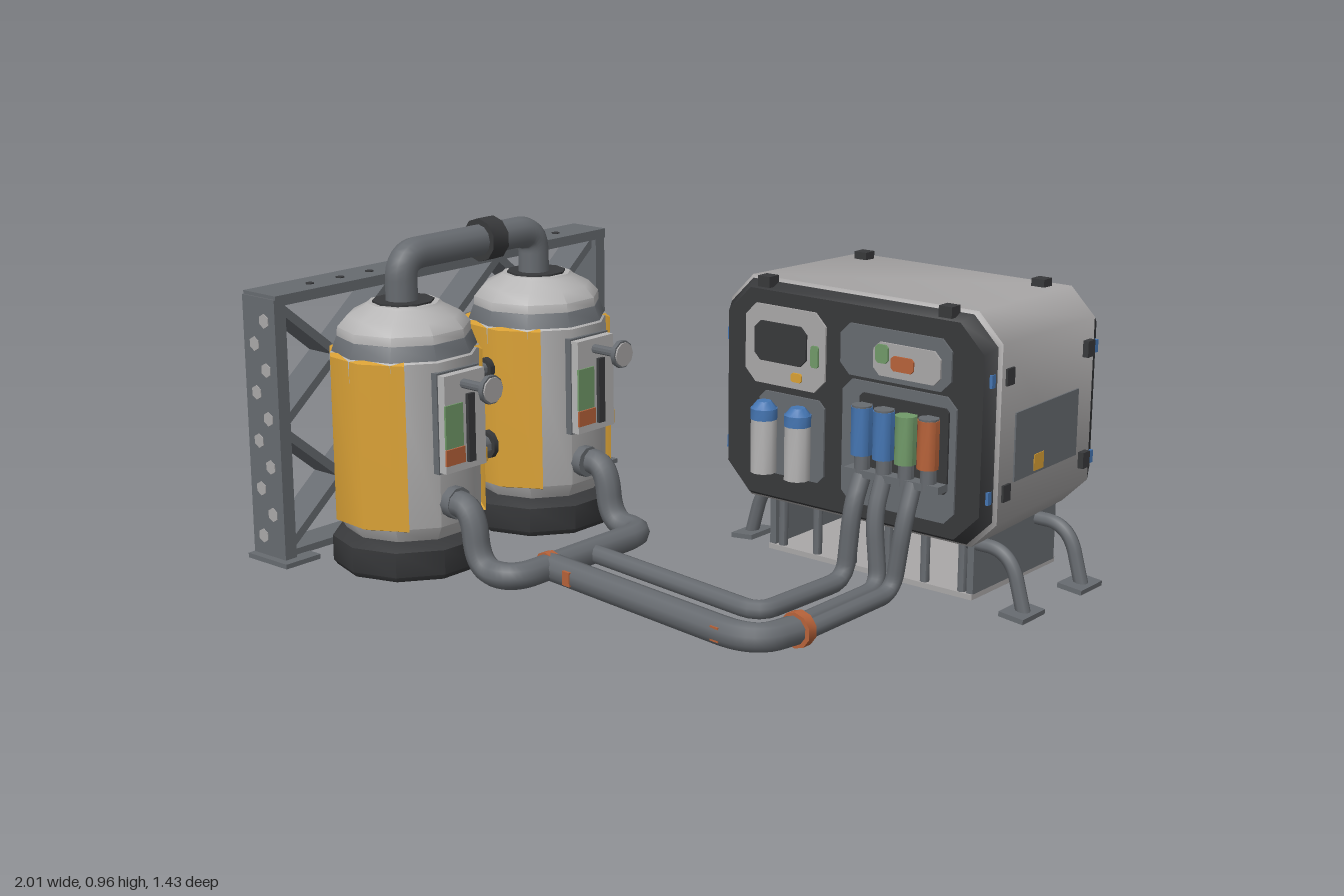
import * as THREE from 'three';
import { toCreasedNormals } from 'three/addons/utils/BufferGeometryUtils.js';
import { ConvexGeometry } from 'three/addons/geometries/ConvexGeometry.js';

const mat = (name, color) => Object.assign(new THREE.MeshStandardMaterial({ color }), { name });
const light = mat('light grey', 0xaaa8a8), mid = mat('steel grey', 0x676b70), dark = mat('charcoal', 0x38393b);
const yellow = mat('yellow paint', 0xd9a136), blue = mat('blue', 0x4576b3), green = mat('green', 0x719a69);
const rust = mat('orange', 0xb8633a), pale = mat('pale grey', 0xb6b5b5);
yellow.side = mid.side = THREE.DoubleSide;

const V = (p) => new THREE.Vector3(...p);

function add(parent, name, geo, material, pos = [0, 0, 0], rot = [0, 0, 0]) {
  const m = new THREE.Mesh(geo, material);
  m.name = name;
  m.position.set(...pos);
  m.rotation.set(...rot);
  parent.add(m);
  return m;
}
const box = (parent, name, material, size, pos, rot) =>
  add(parent, name, new THREE.BoxGeometry(...size), material, pos, rot);
const cyl = (parent, name, material, r, h, pos, rot, r2 = r, n = 10) =>
  add(parent, name, toCreasedNormals(new THREE.CylinderGeometry(r2, r, h, n), 0.8), material, pos, rot);

// Straight bar between two points
function bar(parent, name, material, a, b, w, d) {
  const A = V(a), B = V(b);
  const m = box(parent, name, material, [w, d, A.distanceTo(B)], A.clone().add(B).multiplyScalar(0.5).toArray());
  m.lookAt(B);
}

// Pipe along a polyline whose corners are rounded by a bend radius
function pipe(parent, name, material, pts, r, bend = 0.09, n = 10) {
  const p = pts.map(V), path = new THREE.CurvePath();
  let from = p[0];
  for (let i = 1; i < p.length - 1; i++) {
    const cut = (q) => p[i].clone().lerp(q, Math.min(0.49, bend / p[i].distanceTo(q)));
    const a = cut(p[i - 1]), b = cut(p[i + 1]);
    path.add(new THREE.LineCurve3(from, a));
    path.add(new THREE.QuadraticBezierCurve3(a, p[i], b));
    from = b;
  }
  path.add(new THREE.LineCurve3(from, p[p.length - 1]));
  add(parent, name, new THREE.TubeGeometry(path, 56, r, n, false), material);
}

const lathe = (pts, start = 0, len = Math.PI * 2, n = 10) =>
  toCreasedNormals(new THREE.LatheGeometry(pts.map((p) => new THREE.Vector2(...p)), n, start, len), 0.7);

// Thin plate with cut corners, facing +z
function plate(parent, name, material, x0, x1, y0, y1, z, cut = 0.02) {
  const s = new THREE.Shape(octagon((x0 + x1) / 2, (y0 + y1) / 2, (x1 - x0) / 2, (y1 - y0) / 2, cut));
  add(parent, name, new THREE.ExtrudeGeometry(s, { depth: 0.006, bevelEnabled: false }), material, [0, 0, z]);
}

// Counter-clockwise octagon; edge 0 is the right side
function octagon(cx, cy, w, h, c) {
  return [[w, c - h], [w, h - c], [w - c, h], [c - w, h], [-w, h - c], [-w, c - h], [c - w, -h], [w - c, -h]]
    .map(([x, y]) => new THREE.Vector2(cx + x, cy + y));
}

// Bevel or wall between two octagons, front ring first
function wall(parent, name, material, A, za, B, zb, edges = [0, 1, 2, 3, 4, 5, 6, 7]) {
  const v = [];
  for (const i of edges) {
    const j = (i + 1) % 8;
    const a = [A[i].x, A[i].y, za], b = [B[i].x, B[i].y, zb], c = [B[j].x, B[j].y, zb], d = [A[j].x, A[j].y, za];
    v.push(...a, ...b, ...d, ...b, ...c, ...d);
  }
  const g = new THREE.BufferGeometry();
  g.setAttribute('position', new THREE.Float32BufferAttribute(v, 3));
  add(parent, name, toCreasedNormals(g, 0.9), material);
}

function frame() {
  const g = new THREE.Group();
  g.name = 'trussFrame';
  const z0 = -0.64, z1 = 0.67, cx = -0.932;
  box(g, 'topBeam', mid, [0.135, 0.03, 1.35], [cx, 0.76, 0.01]);
  box(g, 'bottomRail', mid, [0.1, 0.02, 1.3], [cx, 0.022, 0.01]);
  for (const z of [z0, z1]) {
    box(g, 'endPost', mid, [0.135, 0.76, 0.04], [cx, 0.385, z]);
    box(g, 'footPad', mid, [0.165, 0.014, 0.125], [-0.918, 0.007, z - Math.sign(z) * 0.02]);
  }
  for (let i = 0; i < 10; i++) {
    cyl(g, 'beamHole', dark, 0.013, 0.004, [-0.925, 0.776, -0.5 + i * 0.112], [0, 0, 0], 0.013, 6);
    cyl(g, 'postHole', light, 0.021, 0.004, [-0.935 + (i % 2 ? 0.025 : -0.02), 0.07 + i * 0.07, z1 + 0.02], [Math.PI / 2, 0, 0], 0.021, 6);
  }
  // Crossed deep slats in three bays and two rows
  const bay = (z1 - z0) / 3;
  for (let i = 0; i < 3; i++) for (let j = 0; j < 2; j++) {
    const a = z0 + i * bay, b = a + bay, lo = 0.03 + j * 0.36, hi = lo + 0.36;
    bar(g, 'lattice', mid, [cx, lo, a], [cx, hi, b], 0.1, 0.025);
    bar(g, 'lattice', mid, [cx, hi, a], [cx, lo, b], 0.1, 0.025);
  }
  // Pointed bracket towards the tanks
  const tips = [[-0.87, 0.5, 0.1], [-0.87, 0.23, 0.1], [-0.87, 0.36, 0.04], [-0.87, 0.36, 0.23], [-0.795, 0.34, 0.045]];
  add(g, 'bracket', new ConvexGeometry(tips.map(V)), mid);
  return g;
}

function tank(z) {
  const g = new THREE.Group();
  g.name = 'tank';
  add(g, 'base', lathe([[0, 0.035], [0.205, 0.035], [0.216, 0.05], [0.216, 0.12], [0.18, 0.14], [0, 0.14]]), dark);
  add(g, 'core', lathe([[0.17, 0.13], [0.2, 0.18], [0.205, 0.64], [0.185, 0.66]]), pale);
  add(g, 'shell', lathe([[0.185, 0.17], [0.213, 0.18], [0.213, 0.64], [0.19, 0.647]], Math.PI / 2 + 0.66, Math.PI * 2 - 1.42, 8), yellow);
  add(g, 'neckBand', lathe([[0.2, 0.645], [0.185, 0.685], [0.17, 0.695]]), mid);
  add(g, 'dome', lathe([[0.184, 0.685], [0.182, 0.71], [0.155, 0.74], [0.108, 0.765], [0.1, 0.773], [0, 0.773]]), pale);
  cyl(g, 'pipeSeat', dark, 0.085, 0.01, [0, 0.773, 0]);
  // Control panel on the +x side
  box(g, 'panel', pale, [0.06, 0.27, 0.15], [0.2, 0.475, 0]);
  box(g, 'panelBorder', mid, [0.02, 0.28, 0.158], [0.195, 0.475, 0]);
  box(g, 'screen', green, [0.006, 0.12, 0.065], [0.232, 0.47, 0.045]);
  box(g, 'label', rust, [0.006, 0.045, 0.07], [0.232, 0.385, 0.042]);
  box(g, 'gauge', dark, [0.012, 0.19, 0.025], [0.234, 0.455, -0.015]);
  box(g, 'button', yellow, [0.006, 0.04, 0.025], [0.205, 0.355, -0.09]);
  cyl(g, 'valveStem', mid, 0.013, 0.11, [0.28, 0.58, 0.005], [0, 0, Math.PI / 2]);
  cyl(g, 'valveWheel', mid, 0.04, 0.014, [0.333, 0.58, 0.005], [0, 0, Math.PI / 2]);
  cyl(g, 'valveFace', light, 0.035, 0.008, [0.341, 0.58, 0.005], [0, 0, Math.PI / 2]);
  // Wall-side fittings
  box(g, 'rearPlate', mid, [0.03, 0.16, 0.14], [-0.21, 0.55, 0]);
  cyl(g, 'wallMount', dark, 0.035, 0.06, [-0.23, 0.28, 0], [0, 0, Math.PI / 2]);
  cyl(g, 'outletFlange', mid, 0.045, 0.04, [0.2, 0.245, 0.02], [0, 0, Math.PI / 2]);
  g.position.set(-0.565, 0, z);
  return g;
}

function cabinet() {
  const g = new THREE.Group();
  g.name = 'cabinet';
  const oct = (inset) => octagon(0.49, 0.52, 0.44 - inset, 0.315 - inset, 0.075);
  const front = oct(0.026), rim = oct(0.008), full = oct(0), rear = oct(0.012), back = oct(0.04);
  wall(g, 'frontBevel', dark, front, -0.13, rim, -0.165);
  wall(g, 'bodyRim', light, rim, -0.165, full, -0.175);
  wall(g, 'body', light, full, -0.175, rear, -0.65);
  wall(g, 'backBevel', light, rear, -0.65, back, -0.71, [2, 6]);
  wall(g, 'backCorners', dark, rear, -0.65, back, -0.71, [0, 1, 3, 4, 5, 7]);
  add(g, 'frontFace', new THREE.ShapeGeometry(new THREE.Shape(front)), dark, [0, 0, -0.13]);
  add(g, 'backFace', new THREE.ShapeGeometry(new THREE.Shape(back)), light, [0.98, 0, -0.71], [0, Math.PI, 0]);

  // Front display and bays
  plate(g, 'displayFrame', light, 0.14, 0.41, 0.55, 0.77, -0.13, 0.035);
  plate(g, 'display', dark, 0.175, 0.35, 0.615, 0.725, -0.124, 0.02);
  plate(g, 'displayLamp', green, 0.365, 0.39, 0.62, 0.68, -0.124, 0.005);
  plate(g, 'displayLamp', yellow, 0.3, 0.335, 0.57, 0.595, -0.124, 0.005);
  plate(g, 'statusPanel', mid, 0.46, 0.81, 0.62, 0.76, -0.13, 0.03);
  plate(g, 'statusStrip', light, 0.57, 0.78, 0.635, 0.725, -0.124, 0.02);
  plate(g, 'statusLamp', rust, 0.63, 0.7, 0.655, 0.695, -0.118, 0.008);
  plate(g, 'statusLamp', green, 0.58, 0.62, 0.67, 0.72, -0.118, 0.008);
  plate(g, 'hoseBay', mid, 0.47, 0.83, 0.27, 0.61, -0.13, 0.03);
  plate(g, 'hoseBayInset', dark, 0.53, 0.81, 0.35, 0.58, -0.124, 0.01);
  plate(g, 'bottleBay', mid, 0.19, 0.41, 0.3, 0.53, -0.13, 0.02);
  for (const x of [0.24, 0.355]) {
    cyl(g, 'bottle', pale, 0.037, 0.15, [x, 0.39, -0.08]);
    cyl(g, 'bottleTop', blue, 0.038, 0.03, [x, 0.48, -0.08]);
    cyl(g, 'bottleCap', blue, 0.036, 0.02, [x, 0.505, -0.08], [0, 0, 0], 0.02);
  }
  [blue, blue, green, rust].forEach((m, i) => {
    const x = 0.555 + i * 0.07;
    cyl(g, 'cartridge', m, 0.03, 0.13, [x, 0.485, -0.095]);
    if (m !== green) cyl(g, 'cartridgeCap', mid, 0.028, 0.006, [x, 0.552, -0.095]);
    cyl(g, 'cartridgeSocket', mid, 0.022, 0.06, [x, 0.39, -0.1]);
  });
  box(g, 'cartridgeRail', mid, [0.3, 0.02, 0.05], [0.66, 0.37, -0.105]);

  // Clips on top, back and sides
  for (const x of [0.2, 0.785]) {
    for (const z of [-0.59, -0.145]) box(g, 'topClip', dark, [0.04, 0.03, 0.04], [x, 0.831, z]);
    for (const y of [0.67, 0.36]) box(g, 'backClip', dark, [0.04, 0.04, 0.02], [x, y, -0.71]);
  }
  for (const s of [-1, 1]) {
    const x = 0.49 + s * 0.436, q = 0.49;
    for (const y of [0.67, 0.36]) {
      for (const z of [-0.21, -0.61]) box(g, 'sideClip', dark, [0.02, 0.045, 0.035], [x, y, z]);
      for (const z of [-0.155, -0.662]) box(g, 'sideLamp', blue, [0.016, 0.035, 0.02], [q + s * 0.422, y - 0.005, z]);
    }
    box(g, 'sidePanel', mid, [0.009, 0.185, 0.325], [x - s * 0.002, 0.473, -0.41], [0, s * 0.025, 0]);
    box(g, 'sideMark', yellow, [0.009, 0.045, 0.05], [x + s * 0.001, 0.41, -0.37], [0, s * 0.025, 0]);
    // Base side panel and curved legs
    box(g, 'baseSide', mid, [0.02, 0.165, 0.41], [q + s * 0.33, 0.13, -0.435]);
    for (const z of s < 0 ? [-0.56, -0.33] : [-0.545, -0.25]) {
      pipe(g, 'leg', mid, [[q + s * 0.3, 0.19, z], [q + s * 0.44, 0.19, z], [q + s * 0.485, 0.03, z]], 0.02, 0.08, 8);
      box(g, 'legFoot', mid, [0.075, 0.014, 0.11], [q + s * 0.48, 0.03, z], [0, 0, s * -0.1]);
    }
  }
  box(g, 'baseTray', light, [0.68, 0.015, 0.42], [0.49, 0.045, -0.435]);
  for (let i = 0; i < 6; i++) for (const z of [-0.24, -0.63])
    cyl(g, 'baseBar', mid, 0.013, 0.17, [0.19 + i * 0.12, 0.125, z], [0, 0, 0], 0.013, 8);
  return g;
}

function plumbing() {
  const g = new THREE.Group(), X = -0.565, a = -0.025, b = 0.492, y = 0.075, turn = [Math.PI / 2, 0, 0];
  g.name = 'plumbing';
  pipe(g, 'bridgePipe', mid, [[X, 0.77, b], [X, 0.898, b], [X, 0.898, a], [X, 0.77, a]], 0.045, 0.07, 12);
  cyl(g, 'bridgeCollar', dark, 0.062, 0.06, [X, 0.898, 0.165], turn);
  for (const [h, r] of [[0.525, 0.02], [0.3, 0.03]]) {
    cyl(g, 'crossPipe', mid, r, 0.2, [X, h, 0.23], turn);
    for (const z of [0.18, 0.268]) cyl(g, 'crossFlange', dark, r + 0.012, 0.02, [X, h, z], turn);
  }
  // Tank outlets joining a manifold
  for (const [z, end] of [[a, 0.26], [b + 0.02, 0.2]])
    pipe(g, 'outlet', mid, [[-0.38, 0.245, z], [-0.29, 0.245, z], [-0.27, y, z], [-0.14, y, z], [-0.14, y, end]], 0.037, 0.08);
  cyl(g, 'manifoldRing', rust, 0.041, 0.03, [-0.145, y, 0.37], turn);
  // Long lines to the cabinet
  pipe(g, 'upperLine', mid, [[-0.14, y, 0.21], [0.52, y, 0.29], [0.535, y, -0.06], [0.555, 0.28, -0.06], [0.555, 0.36, -0.1]], 0.026, 0.06);
  pipe(g, 'lowerLine', mid, [[-0.14, y, 0.37], [0.64, y, 0.465], [0.67, y, 0.3]], 0.039, 0.12);
  for (const [x, z] of [[-0.035, 0.418], [0.53, 0.482]]) box(g, 'lineMark', rust, [0.028, 0.04, 0.009], [x, y, z], [0, -0.12, 0]);
  cyl(g, 'lineRing', rust, 0.048, 0.03, [0.668, y, 0.32], turn);
  [[0.645, 0.625], [0.69, 0.72]].forEach(([x, top]) =>
    pipe(g, 'hose', mid, [[x, y, 0.32], [x, y, -0.06], [top, 0.27, -0.06], [top, 0.37, -0.1]], 0.024, 0.06));
  return g;
}

export function createModel() {
  const model = new THREE.Group();
  model.name = 'filtrationUnit';
  model.add(frame(), tank(-0.035), tank(0.487), cabinet(), plumbing());
  return model;
}
